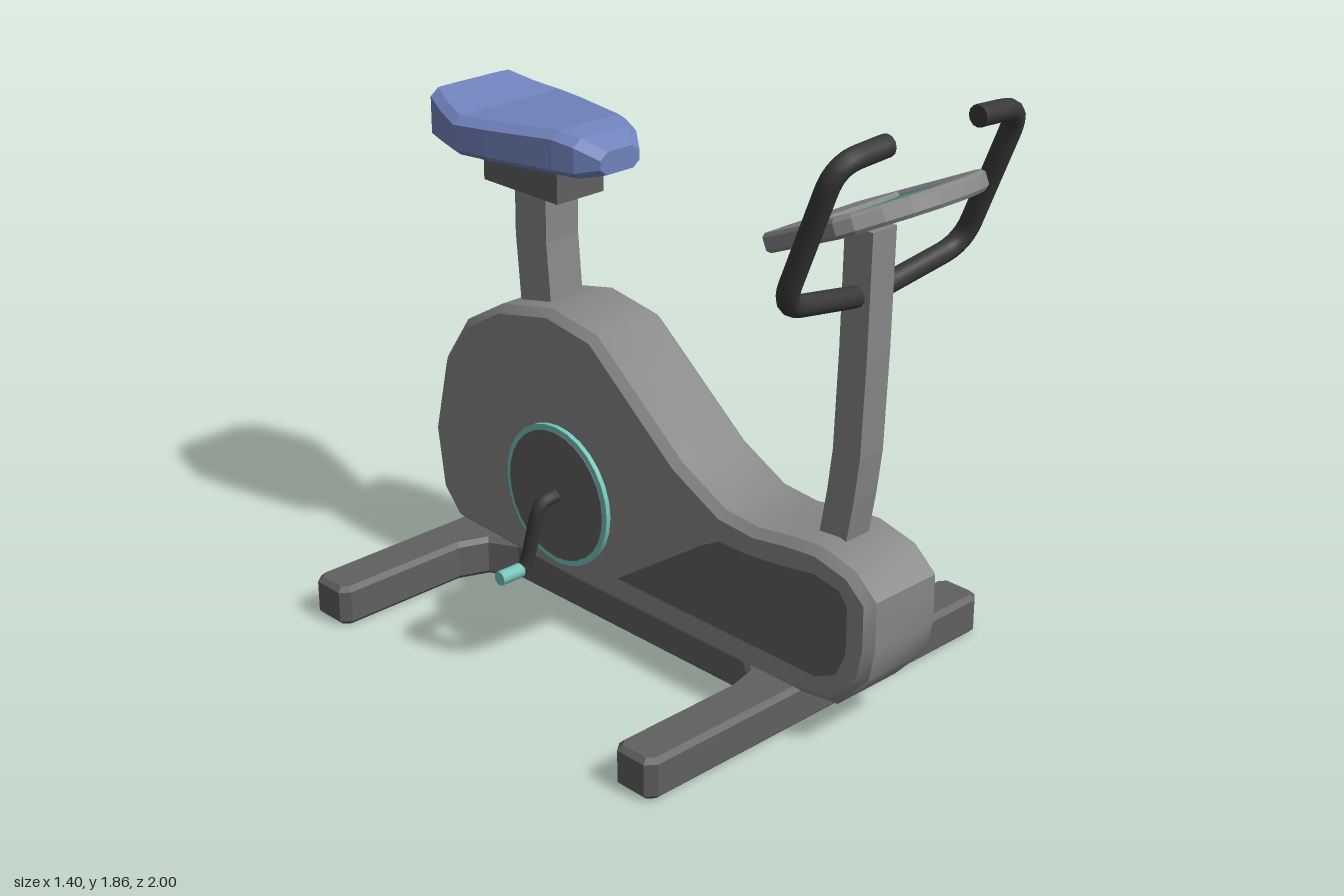
import * as THREE from 'three';
import { toCreasedNormals } from 'three/addons/utils/BufferGeometryUtils.js';

const CX = 0.02; // centre plane of everything above the base

const material = (name, color, extra = {}) => {
  const m = new THREE.MeshStandardMaterial({ color, ...extra });
  m.name = name;
  return m;
};

const vec2s = (pts) => pts.map(([x, y]) => new THREE.Vector2(x, y));

// Mirrors a half outline across x = 0
const mirrored = (half) => [...half, ...half.map(([x, y]) => [-x, y]).reverse()];

// Extrudes an outline to an exact depth, with a chamfer kept inside the outline
function slab(points, depth, bevel = 0, hole = null) {
  const shape = new THREE.Shape(vec2s(points));
  if (hole) shape.holes.push(new THREE.Path(vec2s(hole)));
  const geo = new THREE.ExtrudeGeometry(shape, {
    depth: depth - 2 * bevel, bevelEnabled: bevel > 0, bevelSize: bevel,
    bevelThickness: bevel, bevelOffset: -bevel, bevelSegments: 1,
  });
  return geo.translate(0, 0, bevel);
}

// Slab drawn in (z, y), centred across the machine
function sideSlab(zy, width, bevel, hole) {
  const flip = (pts) => pts.map(([z, y]) => [-z, y]);
  return slab(flip(zy), width, bevel, hole && flip(hole))
    .translate(0, 0, -width / 2).rotateY(Math.PI / 2).translate(CX, 0, 0);
}

// Joins equal-sized rings of points and caps both ends, with flat faces
function loft(rings) {
  const n = rings[0].length, index = [];
  for (let i = 0; i < rings.length - 1; i++) {
    for (let j = 0; j < n; j++) {
      const a = i * n + j, b = i * n + (j + 1) % n;
      index.push(a, b, b + n, a, b + n, a + n);
    }
  }
  const last = (rings.length - 1) * n;
  for (let j = 1; j < n - 1; j++) index.push(0, j + 1, j, last, last + j, last + j + 1);
  const geo = new THREE.BufferGeometry();
  geo.setAttribute('position', new THREE.Float32BufferAttribute(rings.flat(2), 3));
  geo.setIndex(index);
  const flat = geo.toNonIndexed();
  flat.computeVertexNormals();
  return flat;
}

// Rectangular post through [y, z] stations
function post(stations, halfX, halfZ) {
  return loft(stations.map(([y, z]) =>
    [[1, 1], [1, -1], [-1, -1], [-1, 1]].map(([sx, sz]) => [CX + sx * halfX, y, z + sz * halfZ])));
}

// Bent tube: straight runs with rounded corners
function bentTube(points, corner, radius, segments) {
  const p = points.map((q) => new THREE.Vector3(...q));
  const path = new THREE.CurvePath();
  let from = p[0];
  for (let i = 1; i < p.length - 1; i++) {
    const toward = (q) => p[i].clone().add(
      q.clone().sub(p[i]).setLength(Math.min(corner, q.distanceTo(p[i]) * 0.48)));
    const a = toward(p[i - 1]), b = toward(p[i + 1]);
    path.add(new THREE.LineCurve3(from, a));
    path.add(new THREE.QuadraticBezierCurve3(a, p[i], b));
    from = b;
  }
  path.add(new THREE.LineCurve3(from, p[p.length - 1]));
  return new THREE.TubeGeometry(path, segments, radius, 12);
}

const rodX = (radius, length, sides) =>
  new THREE.CylinderGeometry(radius, radius, length, sides).rotateZ(Math.PI / 2);

export function createModel() {
  const model = new THREE.Group();
  model.name = 'exerciseBike';
  const grey = material('bodyGrey', 0x888888);
  const dark = material('darkGrey', 0x606060);
  const black = material('tubeBlack', 0x383838, { side: THREE.DoubleSide });
  const blue = material('seatBlue', 0x7082bc);
  const teal = material('trimTeal', 0x74c4ba);
  const green = material('screenGreen', 0x3f9c8a);
  const add = (name, geo, mat, parent = model) => {
    const mesh = new THREE.Mesh(geo, mat);
    mesh.name = name;
    parent.add(mesh);
    return mesh;
  };

  // Base: two cross bars joined by a flared spine
  const baseHalf = [
    [0.67, 0.62], [0.7, 0.595], [0.7, 0.49], [0.67, 0.466], [0.24, 0.466], [0.15, 0.445], [0.1, 0.38],
    [0.1, -0.62], [0.15, -0.71], [0.24, -0.746], [0.67, -0.746], [0.7, -0.77], [0.7, -0.875], [0.67, -0.9],
  ].map(([x, z]) => [x, -z]);
  add('base', slab(mirrored(baseHalf), 0.13, 0.015).rotateX(-Math.PI / 2), dark);

  // Body shell with a recessed panel on each side
  const shell = [
    [0.89, 0.5], [0.81, 0.57], [0.68, 0.6], [0.57, 0.59], [0.44, 0.57], [0.31, 0.58], [0.13, 0.67],
    [-0.23, 0.96], [-0.43, 0.99], [-0.66, 0.94], [-0.83, 0.84], [-0.94, 0.68], [-1, 0.43],
    [-0.97, 0.22], [-0.89, 0.13], [-0.39, 0.11], [0.6, 0.11], [0.76, 0.13], [0.87, 0.25], [0.89, 0.35],
  ];
  const panel = [
    [0.83, 0.47], [0.79, 0.525], [0.68, 0.545], [0.52, 0.52], [0.41, 0.51], [0.3, 0.51], [0.22, 0.465],
    [-0.17, 0.2], [-0.17, 0.175], [0.7, 0.175], [0.79, 0.22], [0.83, 0.31],
  ];
  add('bodyShell', toCreasedNormals(sideSlab(shell, 0.295, 0.025, panel), 0.7), grey);
  add('sidePanels', sideSlab(panel, 0.25, 0), dark);

  // Crank discs, cranks and pedals
  const axleY = 0.396, axleZ = -0.383;
  add('discRim', rodX(0.23, 0.326, 28), teal).position.set(CX, axleY, axleZ);
  add('discFace', rodX(0.212, 0.334, 28), dark).position.set(CX, axleY, axleZ);
  for (const s of [1, -1]) {
    const at = (x, y, z) => [CX + s * x, axleY + s * y, axleZ + s * z];
    const side = s > 0 ? 'left' : 'right';
    add(side + 'Crank', bentTube([
      at(0.13, 0, 0), at(0.232, 0, 0), at(0.252, 0.234, 0.046), at(0.3, 0.234, 0.046),
    ], 0.06, 0.022, 28), black);
    add(side + 'Pedal', rodX(0.023, 0.085, 12), teal).position.set(...at(0.317, 0.234, 0.046));
  }

  // Seat post, bracket and padded seat
  add('seatPost', post([[0.9, -0.565], [1.16, -0.587], [1.33, -0.585]], 0.065, 0.07), grey);
  add('seatBracket', new THREE.BoxGeometry(0.186, 0.12, 0.335), dark).position.set(CX, 1.37, -0.598);
  const seat = [ // z, half width, bottom, top
    [-0.94, 0.14, 1.435, 1.57], [-0.915, 0.17, 1.42, 1.578], [-0.83, 0.2, 1.42, 1.555],
    [-0.74, 0.228, 1.42, 1.54], [-0.62, 0.205, 1.42, 1.545], [-0.39, 0.148, 1.42, 1.555],
    [-0.32, 0.125, 1.42, 1.54], [-0.255, 0.078, 1.435, 1.505],
  ];
  add('seat', loft(seat.map(([z, w, b, t]) =>
    [[w - 0.025, b], [w, b + 0.02], [w, t - 0.022], [w - 0.03, t],
      [0.03 - w, t], [-w, t - 0.022], [-w, b + 0.02], [0.025 - w, b]].map(([x, y]) => [CX + x, y, z]))), blue);

  // Curved front post
  add('frontPost', post([
    [0.54, 0.645], [0.6, 0.657], [0.73, 0.68], [0.86, 0.697], [1.16, 0.71], [1.52, 0.718],
  ], 0.047, 0.05), grey);

  // Handlebar in a plane leaning forward
  const barHalf = [[0.36, 1.385], [0.36, 1.812], [0.19, 1.824]];
  const bar = [...barHalf.slice().reverse().map(([x, y]) => [-x, y]), [0, 1.318], ...barHalf];
  const leanZ = (y) => 0.715 + 0.41 * (y - 1.33);
  add('handlebar', bentTube(bar.map(([x, y]) => [CX + x, y, leanZ(y)]), 0.08, 0.031, 90), black);
  for (const s of [1, -1]) {
    add('handlebarEnd', rodX(0.031, 0.02, 12), black).position.set(CX + s * 0.187, 1.824, leanZ(1.824));
  }

  // Console tilted toward the rider, drawn flat with its top face at local z = 0
  const console_ = new THREE.Group();
  console_.name = 'console';
  const tilt = 0.423, c = Math.cos(tilt), s = Math.sin(tilt);
  console_.quaternion.setFromRotationMatrix(new THREE.Matrix4().makeBasis(
    new THREE.Vector3(-1, 0, 0), new THREE.Vector3(0, s, c), new THREE.Vector3(0, c, -s)));
  console_.position.set(CX, 1.48, 0.49);
  model.add(console_);
  const outline = mirrored([
    [0.18, 0], [0.208, 0.03], [0.29, 0.38], [0.265, 0.425], [0.2, 0.475], [0.13, 0.512], [0.05, 0.535],
  ]);
  const recess = mirrored([
    [0.06, 0.212], [0.13, 0.197], [0.187, 0.175], [0.212, 0.4], [0.14, 0.437], [0.05, 0.457],
  ]);
  const screen = mirrored([
    [0.05, 0.245], [0.11, 0.235], [0.165, 0.215], [0.193, 0.388], [0.13, 0.418], [0.05, 0.435],
  ]);
  add('consoleCase', slab(outline, 0.055, 0.01, recess).translate(0, 0, -0.055), grey, console_);
  add('consoleFace', slab(recess, 0.039).translate(0, 0, -0.054), grey, console_);
  add('screen', slab(screen, 0.006).translate(0, 0, -0.016), green, console_);

  return model;
}
